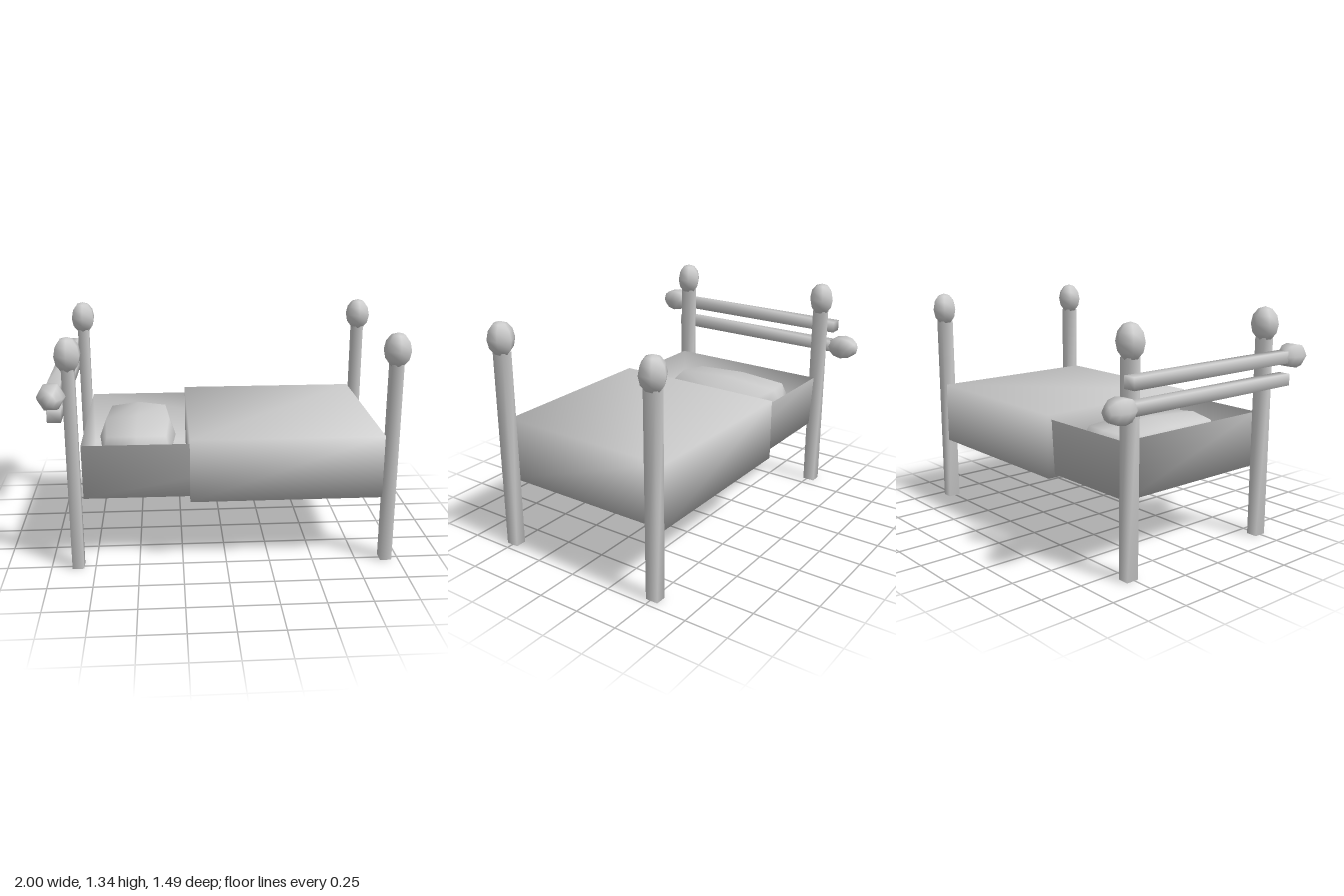
import * as THREE from 'three';
import { mergeVertices } from 'three/addons/utils/BufferGeometryUtils.js';

const grey = new THREE.MeshStandardMaterial({ color: 0xcccccc });
const greyThin = new THREE.MeshStandardMaterial({ color: 0xcccccc, side: THREE.DoubleSide });

// Share corners so that shading runs smoothly over the whole shape
function weld(geometry) {
  geometry.deleteAttribute('normal');
  geometry.deleteAttribute('uv');
  const welded = mergeVertices(geometry);
  welded.computeVertexNormals();
  return welded;
}

// Box given by its lower and upper corners
function spanBox(min, max, segments = 1) {
  const size = max.map((v, i) => v - min[i]);
  return new THREE.BoxGeometry(...size, segments, segments, segments)
    .translate(...max.map((v, i) => (v + min[i]) / 2));
}

function addMesh(parent, name, geometry, material = grey) {
  const mesh = new THREE.Mesh(geometry, material);
  mesh.name = name;
  parent.add(mesh);
  return mesh;
}

// Six-sided egg-shaped knob, long axis along y
function knobGeometry(radius) {
  return weld(new THREE.SphereGeometry(radius, 6, 6).rotateY(Math.PI / 2).scale(1, 0.098 / radius, 1));
}

// Square bar standing on the origin, with a knob on its upper end
function knobbedBar(name, length, knobRadius) {
  const bar = new THREE.Group();
  bar.name = name;
  addMesh(bar, 'bar', weld(spanBox([-0.033, 0, -0.037], [0.033, length, 0.037])));
  addMesh(bar, 'knob', knobGeometry(knobRadius)).position.y = length + 0.075;
  return bar;
}

// Open-topped tray, slightly narrower at the floor
function mattressGeometry() {
  const geometry = spanBox([-0.803, 0.41, -0.515], [0.88, 0.73, 0.5]);
  const index = Array.from(geometry.index.array);
  index.splice(12, 6); // leave out the top
  geometry.setIndex(index);
  const p = geometry.attributes.position;
  for (let i = 0; i < p.count; i++) {
    if (p.getY(i) < 0.5) p.setZ(i, p.getZ(i) - Math.sign(p.getZ(i)) * 0.018);
  }
  return weld(geometry);
}

// Cushion: a cube of 2 x 2 x 2 cells with its edges and corners pulled in
function pillowGeometry() {
  const geometry = new THREE.BoxGeometry(2, 2, 2, 2, 2, 2);
  const p = geometry.attributes.position;
  const v = new THREE.Vector3();
  for (let i = 0; i < p.count; i++) {
    v.fromBufferAttribute(p, i).round();
    const outer = Math.abs(v.x) + Math.abs(v.y) + Math.abs(v.z);
    v.multiplyScalar([1, 1, 0.83, 0.74][outer]);
    p.setXYZ(i, v.x, v.y, v.z);
  }
  return weld(geometry.scale(0.23, 0.13, 0.417));
}

export function createModel() {
  const bed = new THREE.Group();
  bed.name = 'bed';

  // Corner posts
  const posts = [
    ['headPostLeft', -0.848, -0.514], ['headPostRight', -0.848, 0.495],
    ['footPostLeft', 0.926, -0.51], ['footPostRight', 0.926, 0.501],
  ];
  for (const [name, x, z] of posts) {
    const post = knobbedBar(name, 1.167, 0.078);
    post.position.set(x, 0, z);
    bed.add(post);
  }

  // Head rails, with knobs at opposite ends
  for (const [name, y, side] of [['upperRail', 1.058, 1], ['lowerRail', 0.93, -1]]) {
    const rail = knobbedBar(name, 1.162, 0.076);
    rail.rotation.set(side * Math.PI / 2, Math.PI / 2, 0, 'XYZ');
    // turn the bar from y to z, with its wider side along x
    rail.rotation.set(0, 0, 0);
    rail.quaternion
      .setFromAxisAngle(new THREE.Vector3(1, 0, 0), side * Math.PI / 2)
      .multiply(new THREE.Quaternion().setFromAxisAngle(new THREE.Vector3(0, 1, 0), Math.PI / 2));
    rail.position.set(-0.926, y, -side * 0.59);
    bed.add(rail);
  }

  // Bedding
  addMesh(bed, 'mattress', mattressGeometry(), greyThin);
  addMesh(bed, 'blanket', weld(spanBox([-0.205, 0.392, -0.54], [0.884, 0.76, 0.527])));
  addMesh(bed, 'pillow', pillowGeometry()).position.set(-0.505, 0.6, -0.046);

  return bed;
}
